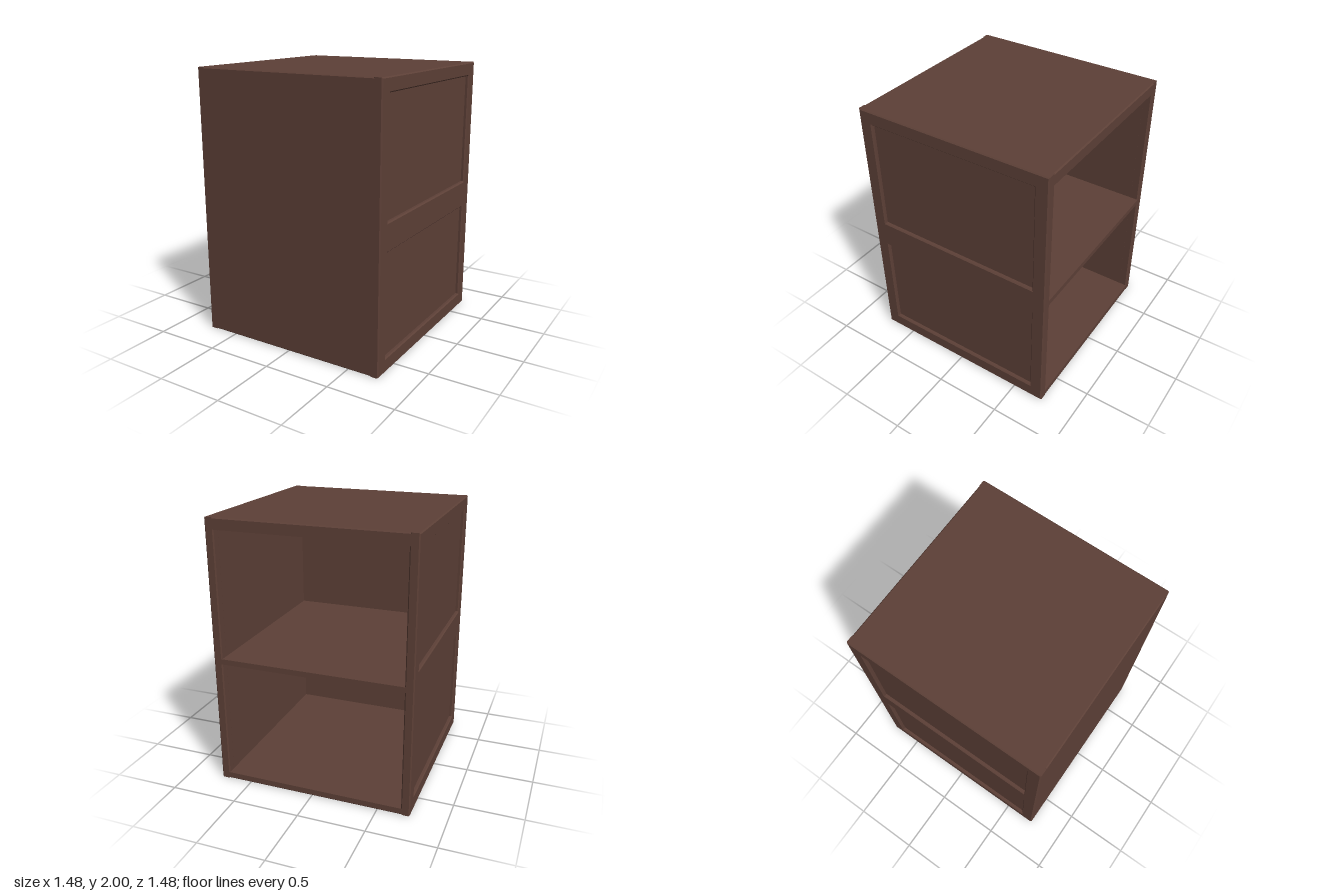
import * as THREE from 'three';

const W = 0.74, H = 2, C = 0.008; // half width and depth, height, edge chamfer

function polygon(points) {
  return new THREE.Shape(points.map(([x, y]) => new THREE.Vector2(x, y)));
}

function rect(x0, y0, x1, y1) {
  return polygon([[x0, y0], [x1, y0], [x1, y1], [x0, y1]]);
}

export function createModel() {
  const group = new THREE.Group();
  group.name = 'cabinet';
  const wood = new THREE.MeshStandardMaterial({ color: 0x5d4037, roughness: 0.8 });

  const add = (name, geometry, parent = group) => {
    const mesh = new THREE.Mesh(geometry, wood);
    mesh.name = name;
    parent.add(mesh);
    return mesh;
  };

  // Front, top, shelf and bottom boards: one E-shaped profile (z, y) run across the width
  const inner = W - 0.03, back = -W;
  const boards = polygon([
    [back + C, 0], [W - C, 0], [W, C], [W, H - C], [W - C, H],
    [back + C, H], [back, H - C], [back, 1.917],
    [inner, 1.917], [inner, 0.983], [back, 0.983],
    [back, 0.943], [inner, 0.943], [inner, 0.05],
    [back, 0.05], [back, C],
  ]);
  const width = 1.41;
  const boardGeometry = new THREE.ExtrudeGeometry(boards, { depth: width, bevelEnabled: false });
  boardGeometry.translate(0, 0, -width / 2);
  boardGeometry.rotateY(-Math.PI / 2); // profile x becomes z
  add('boards', boardGeometry);

  // Side walls: chamfered frame with two recessed panels
  const openings = [[0.105, 0.865], [1.07, 1.9]];
  const frame = rect(-W, 0, W, H);
  for (const [y0, y1] of openings) frame.holes.push(rect(-0.64, y0, 0.64, y1));
  const thickness = 0.065;
  const frameGeometry = new THREE.ExtrudeGeometry(frame, {
    depth: thickness - 2 * C, bevelThickness: C, bevelSize: C, bevelOffset: -C, bevelSegments: 1,
  });
  frameGeometry.translate(0, 0, W - thickness + C);

  for (const side of [1, -1]) {
    const wall = new THREE.Group();
    wall.name = side > 0 ? 'leftWall' : 'rightWall';
    wall.rotation.y = side * Math.PI / 2;
    group.add(wall);
    add('sideFrame', frameGeometry, wall);
    openings.forEach(([y0, y1], i) => {
      const panel = new THREE.BoxGeometry(1.36, y1 - y0 + 0.08, 0.04);
      add(i ? 'upperPanel' : 'lowerPanel', panel, wall)
        .position.set(0, (y0 + y1) / 2, W - thickness + 0.0195);
    });
  }
  return group;
}
